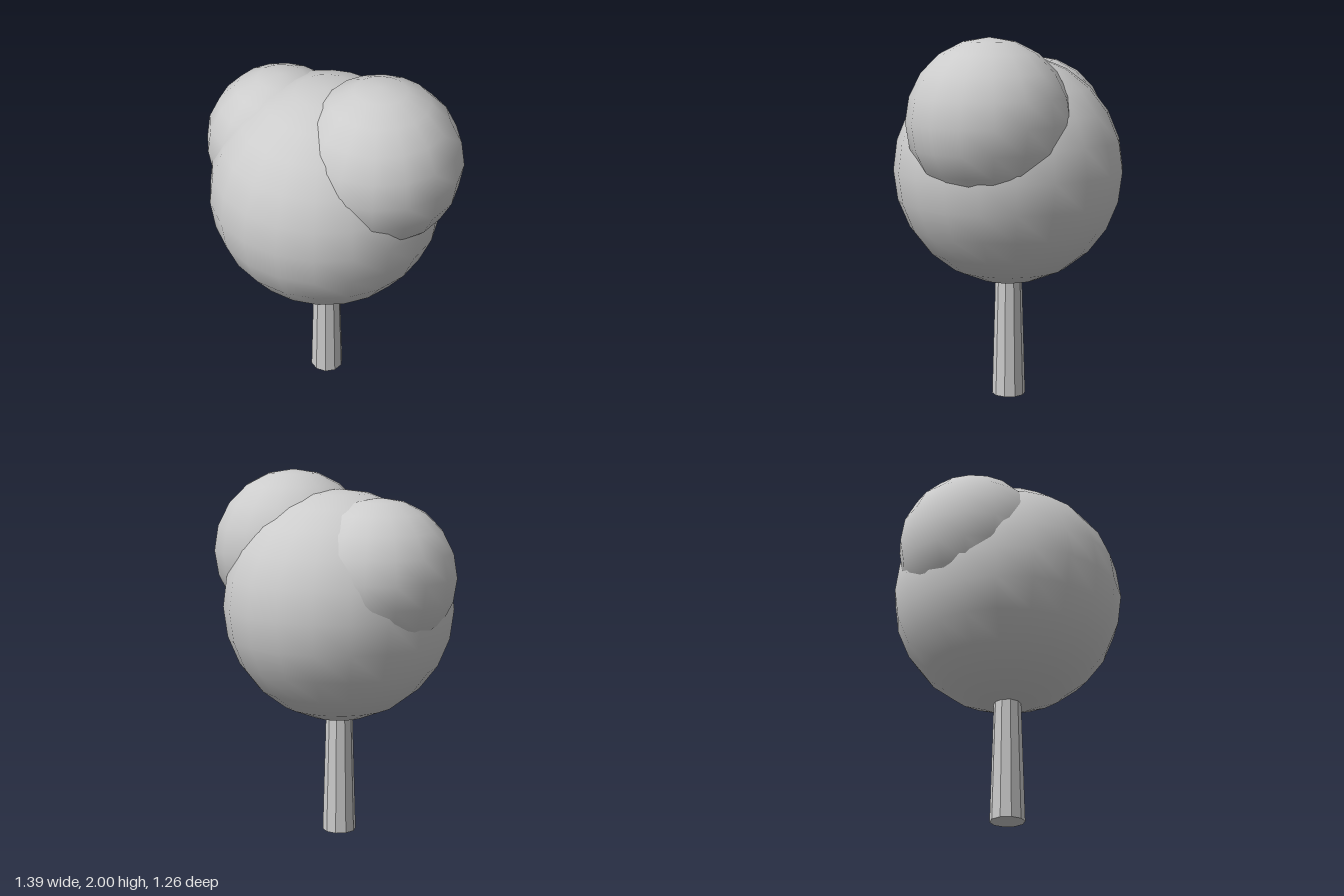
import * as THREE from 'three';

export function createModel() {
  const tree = new THREE.Group();
  tree.name = 'tree';

  const foliageGrey = new THREE.MeshStandardMaterial({ color: 0xcccccc });
  foliageGrey.name = 'light grey';
  const trunkGrey = foliageGrey.clone();
  trunkGrey.name = 'light grey faceted';
  trunkGrey.flatShading = true;

  // Tapered ten-sided trunk, its top buried in the crown
  const trunkHeight = 0.8;
  const trunk = new THREE.Mesh(
    new THREE.CylinderGeometry(0.07, 0.093, trunkHeight, 10), trunkGrey);
  trunk.name = 'trunk';
  trunk.position.set(-0.034, trunkHeight / 2, 0);
  tree.add(trunk);

  // Smooth foliage balls: name, radius, centre, segments around and up
  const balls = [
    ['mainCrown', 0.63, [-0.033, 1.275, 0], 20, 12],
    ['frontLeftCrown', 0.44, [0.25, 1.56, 0.12], 16, 10],
    ['backRightCrown', 0.41, [-0.287, 1.465, -0.16], 16, 10],
  ];
  for (const [name, radius, centre, around, up] of balls) {
    const ball = new THREE.Mesh(new THREE.SphereGeometry(radius, around, up), foliageGrey);
    ball.name = name;
    ball.position.set(...centre);
    tree.add(ball);
  }
  return tree;
}
